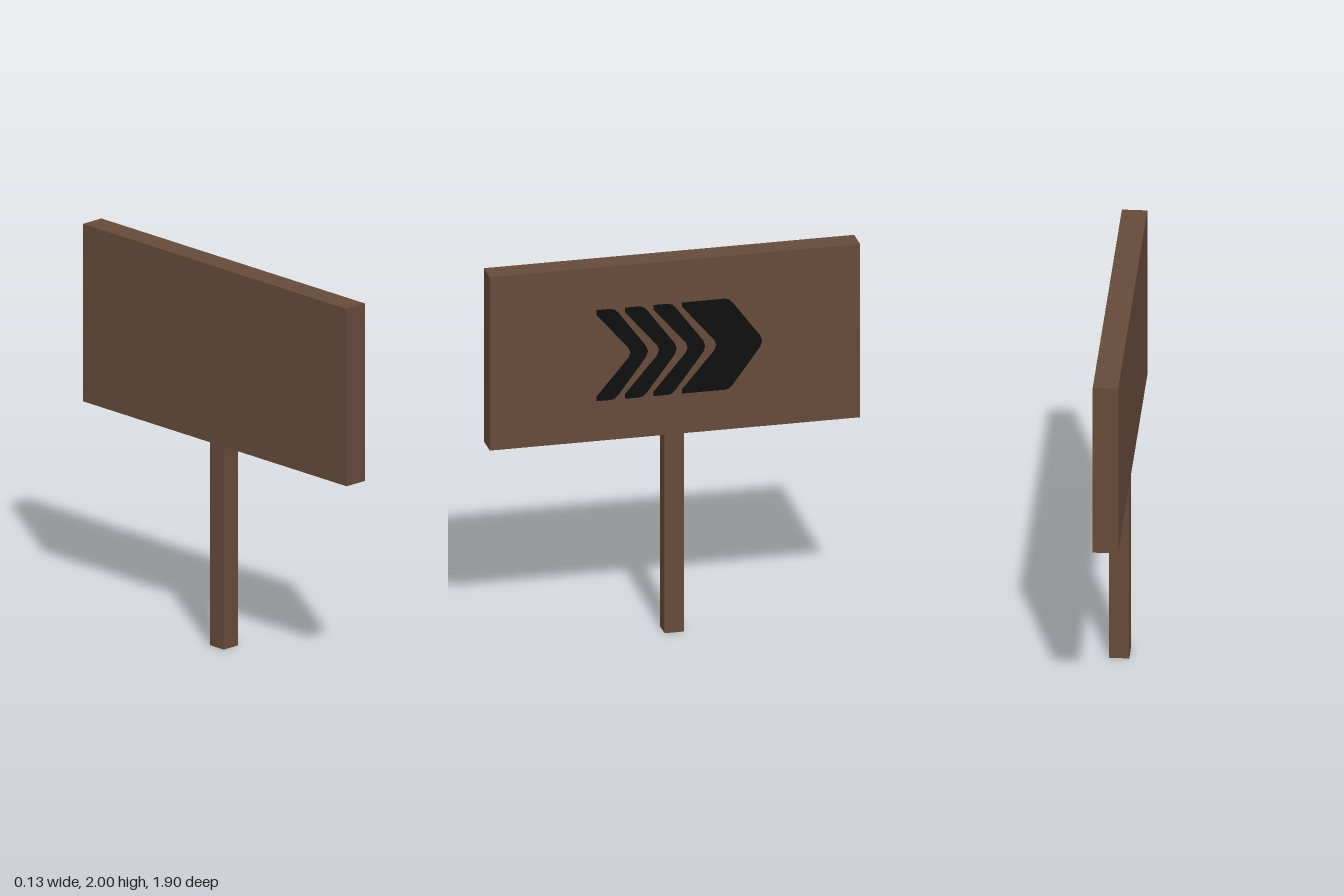
import * as THREE from 'three';

export function createModel() {
  const model = new THREE.Group();
  const wood = new THREE.MeshStandardMaterial({ color: 0x664a3a });
  wood.name = 'brown wood';
  const paint = new THREE.MeshStandardMaterial({ color: 0x0d0d0d });
  paint.name = 'black paint';

  const add = (name, geometry, material, x, y, z) => {
    const mesh = new THREE.Mesh(geometry, material);
    mesh.name = name;
    mesh.position.set(x, y, z);
    model.add(mesh);
    return mesh;
  };

  // Square post and the wide board on top of it
  add('post', new THREE.BoxGeometry(0.1, 1.07, 0.1), wood, 0, 0.535, 0);
  add('board', new THREE.BoxGeometry(0.127, 0.93, 1.9), wood, 0, 1.535, 0);

  // Chevron outline, mirrored about its middle; "extra" widens the body
  const chevronGeometry = (extra) => {
    const upper = [
      [0.175, 0], [0.164, 0.028], [0, 0.22], [0, 0.244],
      [0.075 + extra, 0.244], [0.095 + extra, 0.238], [0.115 + extra, 0.218],
      [0.255 + extra, 0.03], [0.265 + extra, 0],
    ];
    const lower = upper.slice(1, -1).reverse().map(([u, v]) => [u, -v]);
    const shape = new THREE.Shape([...upper, ...lower].map(([u, v]) => new THREE.Vector2(u, v)));
    return new THREE.ExtrudeGeometry(shape, { depth: 0.003, bevelEnabled: false });
  };

  // Painted arrow on the left face, pointing to the back: three stripes and a broad head
  for (let i = 0; i < 4; i++) {
    const head = i === 3;
    const mesh = add(head ? 'arrowHead' : `arrowStripe${i + 1}`,
      chevronGeometry(head ? 0.145 : 0), paint, 0.0625, 1.528, 0.404 - i * 0.147);
    mesh.rotation.y = Math.PI / 2;
  }

  return model;
}
